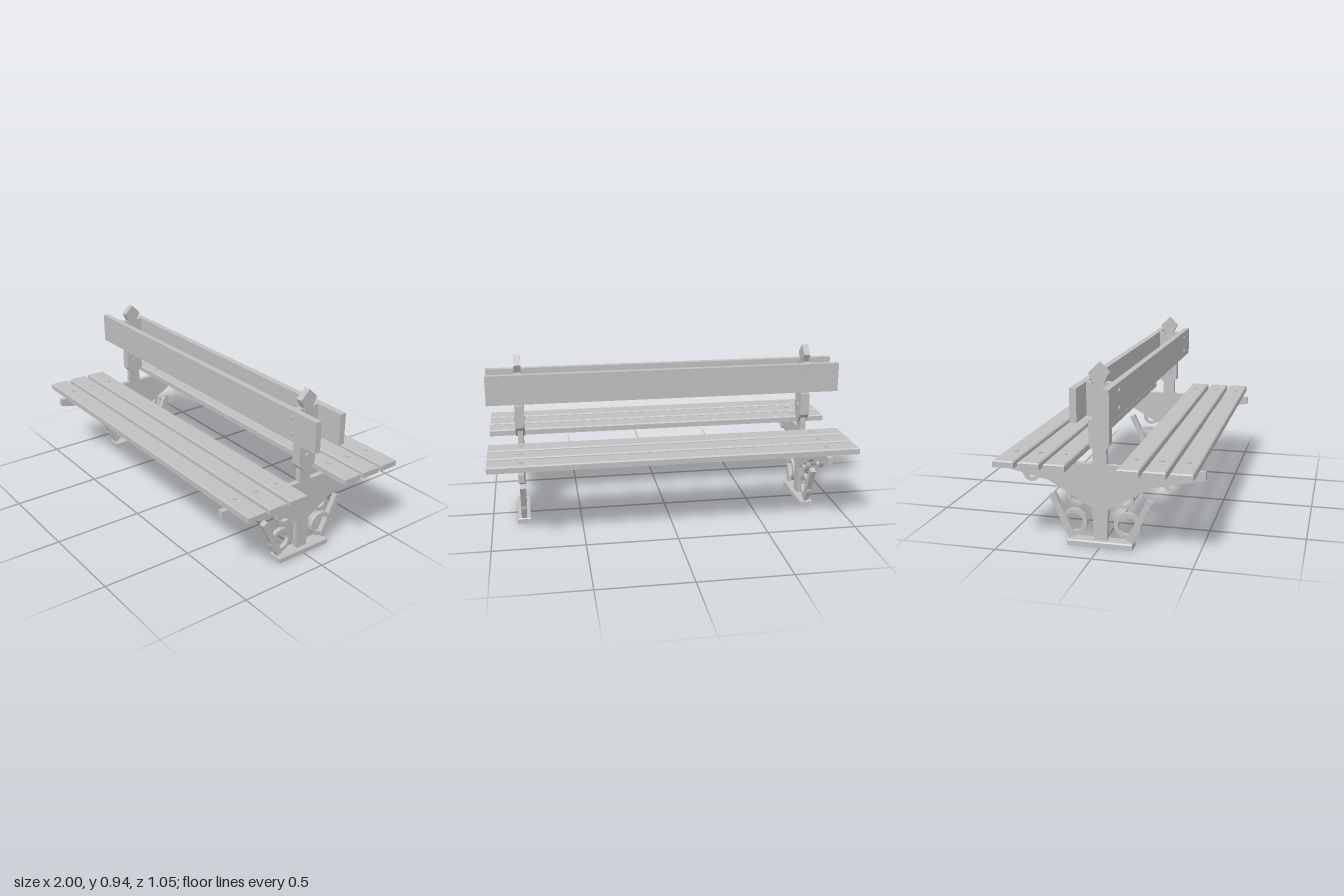
import * as THREE from 'three';

const metal = new THREE.MeshStandardMaterial({ color: 0xc0c0c0 });
metal.name = 'plain grey';
metal.flatShading = true;

function add(parent, name, geometry, x = 0, y = 0, z = 0) {
  const mesh = new THREE.Mesh(geometry, metal);
  mesh.name = name;
  mesh.position.set(x, y, z);
  parent.add(mesh);
  return mesh;
}

// Box standing on y = 0 whose upper edges are chamfered
function chamferedBox(w, h, d, bevel) {
  const geo = new THREE.BoxGeometry(w, h, d, 1, 2, 1);
  geo.translate(0, h / 2, 0);
  const p = geo.attributes.position;
  for (let i = 0; i < p.count; i++) {
    const y = p.getY(i);
    if (y > h * 0.9) {
      p.setX(i, p.getX(i) - Math.sign(p.getX(i)) * bevel);
      p.setZ(i, p.getZ(i) - Math.sign(p.getZ(i)) * bevel);
    } else if (y > h * 0.1) p.setY(i, h - bevel);
  }
  geo.computeVertexNormals();
  return geo;
}

// Extrude a (z, y) outline across x, centred on x = 0
function plate(shape, thickness) {
  const geo = new THREE.ExtrudeGeometry(shape, { depth: thickness, bevelEnabled: false });
  geo.translate(0, 0, -thickness / 2);
  return geo.rotateY(-Math.PI / 2);
}

// Mirror half an outline, listed from top to bottom, about z = 0
function symmetric(half) {
  const other = half.filter(([z]) => z > 0).reverse().map(([z, y]) => [-z, y]);
  return new THREE.Shape([...half, ...other].map(([z, y]) => new THREE.Vector2(z, y)));
}

function circle(r, sides) {
  return Array.from({ length: sides }, (_, i) => {
    const a = (i + 0.5) / sides * Math.PI * 2;
    return new THREE.Vector2(Math.cos(a) * r, Math.sin(a) * r);
  });
}

function ring(outer, inner) {
  const shape = new THREE.Shape(circle(outer, 14));
  shape.holes.push(new THREE.Path(circle(inner, 14)));
  return plate(shape, 0.024);
}

function createSupport() {
  const g = new THREE.Group();
  g.name = 'support';

  // Foot and the one-piece bearer with its leg
  add(g, 'foot', chamferedBox(0.076, 0.032, 0.336, 0.006));
  add(g, 'bearer', plate(symmetric([
    [0.034, 0.64], [0.034, 0.5], [0.037, 0.428], [0.527, 0.428], [0.527, 0.386],
    [0.265, 0.329], [0.042, 0.2], [0.04, 0.185], [0.033, 0.03],
  ]), 0.03));

  // Pointed post and the collar that joins it to the bearer
  add(g, 'post', plate(symmetric([
    [0, 0.937], [0.052, 0.886], [0.026, 0.838], [0.034, 0.825], [0.034, 0.6],
  ]), 0.036));
  add(g, 'collar', plate(symmetric([
    [0.052, 0.655], [0.052, 0.527], [0, 0.467],
  ]), 0.052));
  const pin = new THREE.CylinderGeometry(0.018, 0.018, 0.066, 6);
  pin.rotateY(Math.PI / 2).rotateZ(Math.PI / 2);
  add(g, 'collarBolt', pin, 0, 0.575, 0);

  for (const s of [1, -1]) {
    // Leaning strut and ornamental rings
    const strut = add(g, 'strut', new THREE.BoxGeometry(0.03, 0.242, 0.034), 0, 0.148, s * 0.2);
    strut.rotation.x = s * 0.448;
    add(g, 'lowerRing', ring(0.069, 0.048), 0, 0.118, s * 0.138);
    add(g, 'middleRing', ring(0.053, 0.036), 0, 0.261, s * 0.12);
    add(g, 'outerRing', ring(0.045, 0.029), 0, 0.361, s * 0.358);

    // Spacer behind the backrest board, and bolts
    add(g, 'spacer', new THREE.BoxGeometry(0.036, 0.166, 0.03), 0, 0.759, s * 0.048);
    for (const y of [0.803, 0.717]) {
      const bolt = new THREE.CylinderGeometry(0.011, 0.011, 0.012, 8).rotateX(Math.PI / 2);
      add(g, 'backBolt', bolt, 0, y, s * 0.096);
    }
    for (const z of [0.182, 0.311, 0.441]) {
      add(g, 'seatBolt', new THREE.CylinderGeometry(0.013, 0.013, 0.012, 8), 0, 0.464, s * z);
    }
  }
  return g;
}

export function createModel() {
  const model = new THREE.Group();
  model.name = 'doubleSidedBench';

  for (const x of [-0.823, 0.823]) {
    const support = createSupport();
    support.position.x = x;
    model.add(support);
  }

  // Three seat slats and one backrest board on each side
  for (const s of [1, -1]) {
    for (const z of [0.182, 0.311, 0.441]) {
      add(model, 'seatSlat', chamferedBox(2, 0.035, 0.109, 0.006), 0, 0.429, s * z);
    }
    add(model, 'backBoard', new THREE.BoxGeometry(2, 0.166, 0.034), 0, 0.759, s * 0.079);
  }
  return model;
}
